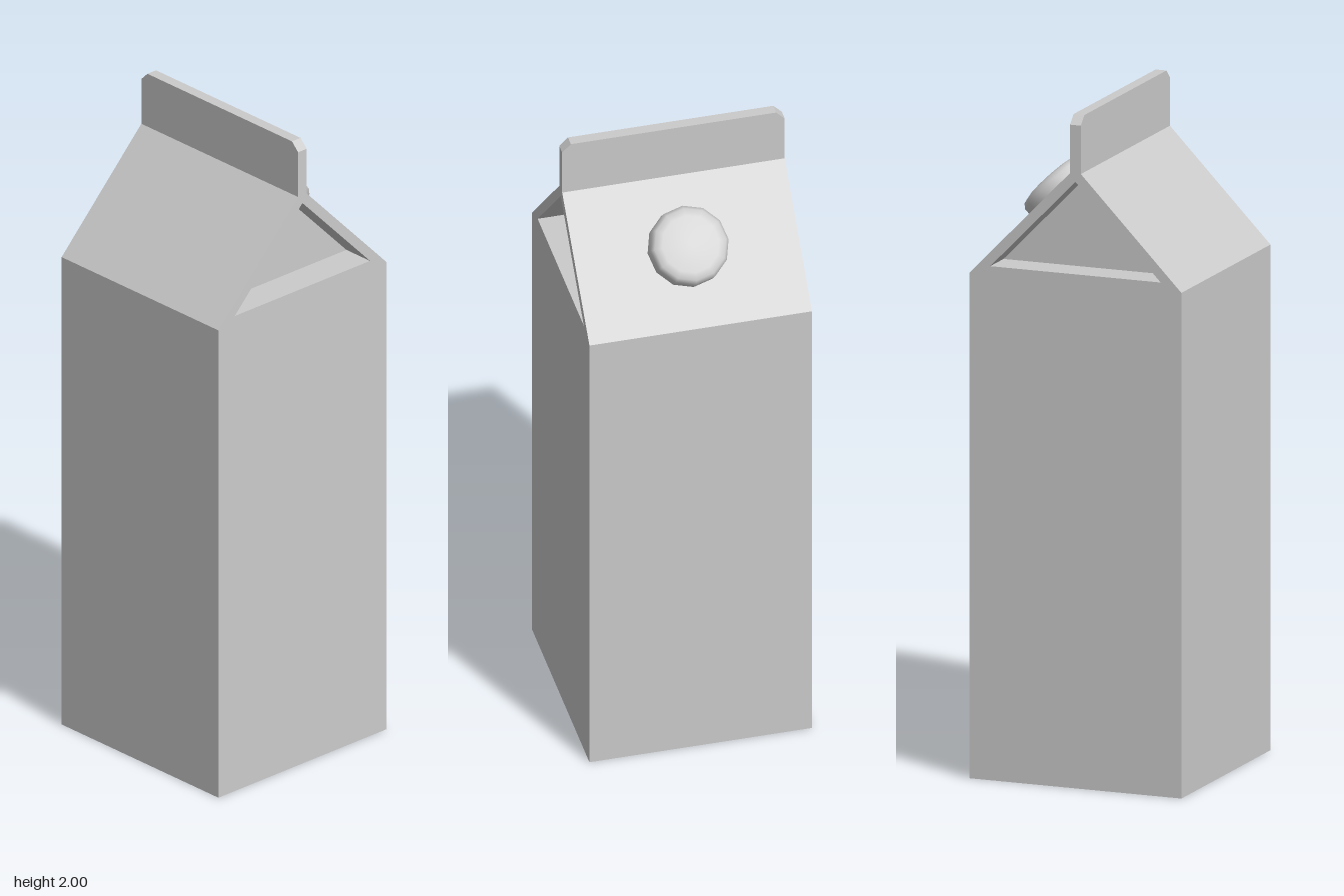
import * as THREE from 'three';
import { toCreasedNormals } from 'three/addons/utils/BufferGeometryUtils.js';

const HALF = 0.333;        // half width of the square carton
const WALL_TOP = 1.505;    // where the roof starts
const ROOF_TOP = 1.83;     // where the roof meets the fin
const FIN = 0.017;         // half thickness of the fin
const RECESS = 0.1;        // depth of the folded-in gables

const points = (list) => list.map(([x, y]) => new THREE.Vector2(x, y));
const gable = points([[-0.268, 1.53], [0.268, 1.53], [0, 1.805]]);

export function createModel() {
  const group = new THREE.Group();
  const material = new THREE.MeshStandardMaterial({ color: 0xcccccc });
  const add = (name, geometry) => {
    const mesh = new THREE.Mesh(geometry, material);
    mesh.name = name;
    group.add(mesh);
    return mesh;
  };

  // Body and sloping roof: one side profile run across the width, with the gable cut out
  const profile = new THREE.Shape(points([
    [-HALF, 0], [HALF, 0], [HALF, WALL_TOP],
    [FIN, ROOF_TOP], [-FIN, ROOF_TOP], [-HALF, WALL_TOP],
  ]));
  profile.holes.push(new THREE.Path(gable));
  const body = new THREE.ExtrudeGeometry(profile, { depth: 2 * HALF, bevelEnabled: false });
  body.translate(0, 0, -HALF).rotateY(Math.PI / 2);
  add('cartonBody', body);

  // Triangular panels set back inside each gable
  for (const [name, side] of [['leftGablePanel', 1], ['rightGablePanel', -1]]) {
    const panel = new THREE.ShapeGeometry(new THREE.Shape(gable));
    panel.rotateY(side * Math.PI / 2).translate(side * (HALF - RECESS), 0, 0);
    add(name, panel);
  }

  // Sealed fin along the ridge, with clipped top corners
  const clip = 0.026;
  const finShape = new THREE.Shape(points([
    [-HALF, ROOF_TOP], [HALF, ROOF_TOP], [HALF, 2 - clip],
    [HALF - clip, 2], [clip - HALF, 2], [-HALF, 2 - clip],
  ]));
  const fin = new THREE.ExtrudeGeometry(finShape, { depth: 2 * FIN, bevelEnabled: false });
  add('topFin', fin.translate(0, 0, -FIN));

  // Round screw cap on the back slope
  const capProfile = points([
    [0, 0], [0.117, 0], [0.117, 0.046], [0.107, 0.06], [0.085, 0.066], [0, 0.068],
  ]);
  const cap = add('screwCap', toCreasedNormals(new THREE.LatheGeometry(capProfile, 12), 1));
  cap.position.set(0, 1.68, -0.17);
  cap.rotation.x = -Math.atan2(ROOF_TOP - WALL_TOP, HALF - FIN);

  return group;
}
